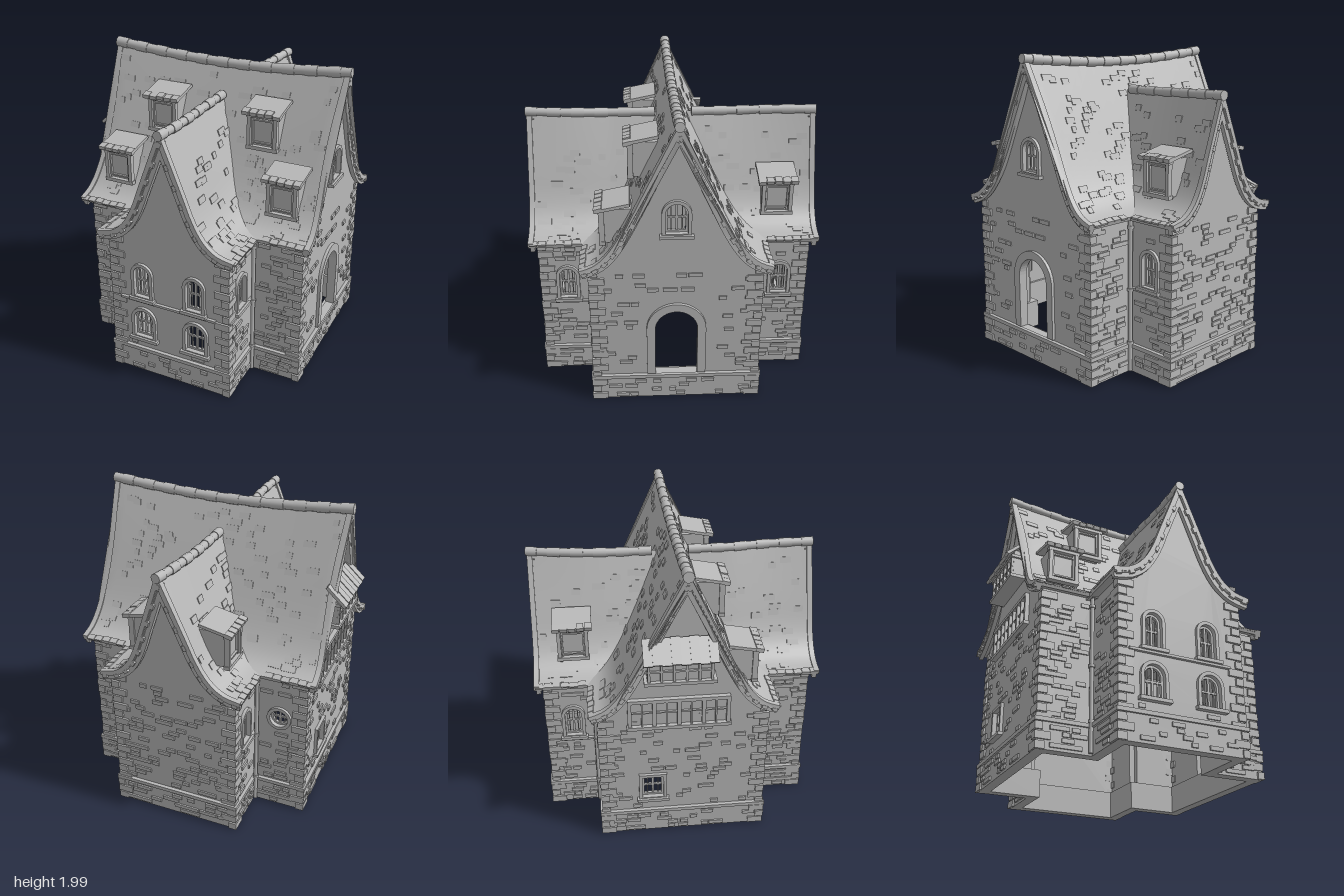
import * as THREE from 'three';
import { mergeGeometries, toCreasedNormals } from 'three/addons/utils/BufferGeometryUtils.js';

const V2 = (x, y) => new THREE.Vector2(x, y);
const CX = 0.035; // centre line of the front and back wings
const X0 = -0.72, X1 = 0.78, ZM = 0.53, WL = CX - 0.41, WR = CX + 0.41, ZW = 0.87;

// half roof profiles, ridge to eave
const spline = (a) => new THREE.SplineCurve(a.map((p) => V2(...p))).getPoints(18);
const mainP = spline([[0, 1.96], [0.15, 1.645], [0.3, 1.325], [0.4, 1.155], [0.49, 1.065], [0.59, 1.025]]);
const wingP = spline([[0, 1.735], [0.07, 1.56], [0.14, 1.385], [0.2, 1.235], [0.27, 1.12], [0.36, 1.05], [0.47, 1.025]]);

export function createModel() {
  const model = new THREE.Group();
  const stone = new THREE.MeshStandardMaterial({ color: 0xb8b8b8, side: THREE.DoubleSide });
  stone.name = 'plain grey stone';
  let seed = 11;
  const rnd = (a = 0, b = 1) => { seed = (seed * 16807) % 2147483647; return a + (b - a) * (seed / 2147483647); };
  const add = (name, geos) => {
    const list = [].concat(geos).map((g) => (g.index ? g.toNonIndexed() : g));
    const mesh = new THREE.Mesh(mergeGeometries(list), stone);
    mesh.name = name;
    model.add(mesh);
  };
  const box = (w, h, d, x, y, z) => new THREE.BoxGeometry(w, h, d).translate(x, y, z);
  const extrude = (shape, depth, steps = 1) =>
    new THREE.ExtrudeGeometry(shape, { depth, steps, bevelEnabled: false, curveSegments: 10 });
  const place = (x, y, z, rot) => new THREE.Matrix4().makeRotationY(rot).setPosition(x, y, z);
  const rod = (a, b, r, sides = 10) => {
    const d = b.clone().sub(a), q = new THREE.Quaternion().setFromUnitVectors(new THREE.Vector3(0, 1, 0), d.clone().normalize());
    const c = a.clone().add(b).multiplyScalar(0.5);
    return new THREE.CylinderGeometry(r, r, d.length(), sides).applyQuaternion(q).translate(c.x, c.y, c.z);
  };

  // sagging ridges and crooked verges
  const warp = (fn) => (g) => {
    const p = g.attributes.position, v = new THREE.Vector3();
    for (let i = 0; i < p.count; i++) { v.fromBufferAttribute(p, i); fn(v); p.setXYZ(i, v.x, v.y, v.z); }
    return toCreasedNormals(g, 0.5);
  };
  const sagMain = (v) => {
    const t = THREE.MathUtils.clamp((v.y - 1.02) / 0.94, 0, 1);
    v.y -= 0.045 * t * Math.max(0, Math.cos(Math.PI * (v.x - 0.03) / 1.66));
    v.x -= (v.x - 0.03) * 0.035 * Math.sin(Math.PI * t);
    v.z -= 0.015 * t * v.x;
  };
  const sagWing = (v) => {
    const t = THREE.MathUtils.clamp((v.y - 1.02) / 0.72, 0, 1), a = Math.max(0, (Math.abs(v.z) - 0.4) / 0.54);
    v.y += 0.015 * t * a;
    v.x += t * (v.z < 0 ? 0.042 * a * a : 0.012 * Math.sin(Math.PI * a));
  };

  // profile moved inward by t, over both slopes
  const offset = (P, t) => {
    const half = [];
    P.forEach((p, i) => {
      const d = P[Math.min(i + 1, P.length - 1)].clone().sub(P[Math.max(i - 1, 0)]).normalize();
      if (i === 0) half.push(V2(0, p.y - t / d.x));
      else { const q = V2(p.x + d.y * t, p.y - d.x * t); if (q.x > 0.004) half.push(q); }
    });
    return half.slice(1).reverse().map((p) => V2(-p.x, p.y)).concat(half);
  };
  const band = (P, a, b) => new THREE.Shape(offset(P, a).concat(offset(P, b).reverse()));
  const height = (P, d) => {
    for (let i = 1; i < P.length; i++) if (d <= P[i].x)
      return P[i - 1].y + (P[i].y - P[i - 1].y) * (d - P[i - 1].x) / (P[i].x - P[i - 1].x);
    return 0;
  };

  // roofs, each run along local z and turned into place
  function roof(name, P, len, M, sag, from, count, visible) {
    const fix = warp(sag), put = (g) => fix(g.applyMatrix4(M));
    add(name + 'Roof', put(extrude(band(P, 0, 0.025), len, 20)));
    const verge = [], tiles = [];
    for (const end of from ? [1] : [0, 1]) {
      verge.push(put(extrude(band(P, 0.012, 0.055), 0.03).translate(0, 0, end ? len - 0.04 : 0.01)));
      verge.push(put(extrude(band(P, -0.01, 0.018), 0.035).translate(0, 0, end ? len - 0.03 : -0.005)));
      // blocks along the barge boards
      for (let i = 1; i < P.length - 1; i += 2) for (const s of [-1, 1]) {
        const a = Math.atan2(P[i + 1].y - P[i - 1].y, P[i + 1].x - P[i - 1].x);
        verge.push(put(box(0.035, 0.022, 0.05, 0, -0.025, 0).rotateZ(s * a).translate(s * P[i].x, P[i].y, end ? len - 0.018 : 0.018)));
      }
    }
    // raised slates, with ragged eaves
    const slate = (s, d, z, w) => {
      const a = Math.atan2(height(P, d + 0.008) - height(P, d - 0.008), 0.016);
      tiles.push(put(box(0.04, 0.012, w, 0, 0, 0).rotateZ(s * a + s * -0.06).translate(s * d, height(P, d), z)));
    };
    for (let i = 0; i < count; i++) {
      const s = i % 2 ? 1 : -1, d = rnd(0.04, P.at(-1).x - 0.05), z = rnd(0.05, len - 0.06);
      if (visible(d, z, s)) slate(s, d, z, rnd(0.035, 0.09));
    }
    for (const s of [-1, 1]) for (let z = 0.03; z < len - 0.02; z += 0.055) {
      const d = P.at(-1).x - 0.012 + rnd(-0.006, 0.004);
      if (visible(d - 0.01, z, s)) slate(s, d, z, 0.05);
    }
    add(name + 'RoofTrim', verge);
    add(name + 'RoofSlates', tiles);
    // ridge tiles
    const caps = [], n = Math.round((len - from) / 0.075), r = P === mainP ? 0.034 : 0.03;
    const at = (k) => {
      const v = new THREE.Vector3(0, P[0].y, from - 0.01 + (len + 0.02 - from) * k / n).applyMatrix4(M);
      sag(v);
      return v;
    };
    for (let k = 0; k < n; k++) caps.push(rod(at(k), at(k + 1.12 - (k === n - 1 ? 0.12 : 0)), r + (k % 2 ? -0.003 : 0.001)));
    add(name + 'Ridge', caps);
  }
  const wingOver = (d, x) => Math.abs(x - CX) < 0.5 && height(wingP, Math.min(0.47, Math.abs(x - CX))) > height(mainP, d) - 0.03;
  roof('main', mainP, 1.63, place(-0.79, 0, 0, Math.PI / 2), sagMain, 0, 230, (d, z) => !wingOver(d, z - 0.79));
  const clear = (d, z) => height(mainP, Math.min(z + 0.1, 0.58)) < height(wingP, d) - 0.02 || z > 0.5;
  roof('frontWing', wingP, 0.83, place(CX, 0, 0.1, 0), sagWing, 0.02, 90, clear);
  roof('backWing', wingP, 0.83, place(CX, 0, -0.1, Math.PI), sagWing, 0.04, 90, clear);

  // arched, round or square outline for openings
  function outline(o, grow, S) {
    const s = new S(), w = o.w + grow, b = o.y0 - (o.door ? 0 : grow), t = o.y1 + grow;
    if (o.round) return s.absarc(o.x, (o.y0 + o.y1) / 2, w, 0, Math.PI * 2), s;
    s.moveTo(o.x - w, b).lineTo(o.x + w, b);
    if (o.square) s.lineTo(o.x + w, t).lineTo(o.x - w, t);
    else s.lineTo(o.x + w, t - w).absarc(o.x, t - w, w, 0, Math.PI, false);
    s.closePath();
    return s;
  }
  // a wall with openings, frames and raised bricks; local x runs right seen from outside
  function wall(name, x, z, rot, pts, openings, bricks, sag, top = 0.97) {
    const M = place(x, 0, z, rot), shape = new THREE.Shape(pts), hw = Math.max(...pts.map((p) => p.x));
    openings.forEach((o) => shape.holes.push(outline(o, 0, THREE.Path)));
    const g = extrude(shape, 0.04).translate(0, 0, -0.04).applyMatrix4(M);
    add(name, sag ? warp(sag)(g) : g);
    const frames = [];
    for (const o of openings) {
      const ring = outline(o, o.door ? 0.055 : 0.022, THREE.Shape), h = o.y1 - o.y0, my = (o.y0 + o.y1) / 2;
      ring.holes.push(outline(o, 0, THREE.Path));
      frames.push(extrude(ring, 0.05).translate(0, 0, -0.03));
      if (o.door) continue;
      const inner = outline(o, 0.002, THREE.Shape);
      inner.holes.push(outline(o, -0.014, THREE.Path));
      frames.push(extrude(inner, 0.02).translate(0, 0, -0.03));
      frames.push(box(0.014, h, 0.014, o.x, my, -0.02), box(o.w * 2, 0.012, 0.014, o.x, my, -0.02));
      for (const s of [-1, 1]) frames.push(box(0.007, h * 0.8, 0.01, o.x + s * o.w * 0.5, my - h * 0.06, -0.02));
      if (!o.round) frames.push(box(o.w * 2 + 0.07, 0.022, 0.05, o.x, o.y0 - 0.018, 0.01));
    }
    if (frames.length) add(name + 'Frames', frames.map((f) => (f.index ? f.toNonIndexed() : f).applyMatrix4(M)));
    const raised = [];
    for (let i = 0; i < bricks; i++) {
      const low = i % 4 === 0, w = rnd(0.04, 0.09), bx = rnd(-hw + 0.06, hw - 0.06);
      const by = low ? 0.03 + 0.035 * Math.floor(rnd(0, 4)) : 0.22 + 0.035 * Math.floor(rnd(0, (top - 0.22) / 0.035));
      if (openings.some((o) => Math.abs(bx - o.x) < o.w + 0.1 && by > o.y0 - 0.06 && by < o.y1 + 0.06)) continue;
      raised.push(box(w, 0.026, 0.02, bx, by, low ? 0.011 : 0).applyMatrix4(M));
    }
    add(name + 'Bricks', raised);
  }
  const gable = (P, hw) => {
    const top = offset(P, 0.015).filter((p) => Math.abs(p.x) < hw - 0.01).reverse();
    return [V2(-hw, 0.1), V2(hw, 0.1), V2(hw, 1.03), ...top, V2(-hw, 1.03)];
  };
  const flat = (hw) => [V2(-hw, 0.1), V2(hw, 0.1), V2(hw, 1.035), V2(-hw, 1.035)];
  const win = (x, y0 = 0.59, y1 = 0.81, w = 0.055) => ({ x, y0, y1, w });

  wall('frontGable', CX, ZW, 0, gable(wingP, 0.41),
    [win(-0.19), win(0.18), win(-0.19, 0.28, 0.48, 0.068), win(0.185, 0.28, 0.48, 0.068)], 50, sagWing, 0.55);
  wall('backGable', CX, -ZW, Math.PI, gable(wingP, 0.41), [], 120, sagWing);
  wall('rightGable', X1, 0, Math.PI / 2, gable(mainP, ZM),
    [{ x: 0, y0: 0.2, y1: 0.69, w: 0.135, door: true }, win(0, 1.255, 1.455, 0.068)], 70);
  wall('leftGable', X0, 0, -Math.PI / 2, gable(mainP, ZM), [{ x: -0.2, y0: 0.3, y1: 0.47, w: 0.07, square: true }], 80);
  const zs = (ZM + ZW) / 2, zh = (ZW - ZM) / 2, q = Math.PI / 2;
  wall('frontWingRightWall', WR, zs, q, flat(zh), [win(0)], 40);
  wall('backWingRightWall', WR, -zs, q, flat(zh), [win(0)], 40);
  wall('frontWingLeftWall', WL, zs, -q, flat(zh), [], 50);
  wall('backWingLeftWall', WL, -zs, -q, flat(zh), [win(0)], 40);
  const xr = (WR + X1) / 2, xl = (WL + X0) / 2, hr = (X1 - WR) / 2, hl = (WL - X0) / 2;
  wall('frontRightWall', xr, ZM, 0, flat(hr), [], 55);
  wall('frontLeftWall', xl, ZM, 0, flat(hl), [], 55);
  wall('backRightWall', xr, -ZM, Math.PI, flat(hr), [], 55);
  wall('backLeftWall', xl, -ZM, Math.PI, flat(hl), [{ x: 0, y0: 0.64, y1: 0.76, w: 0.06, round: true }], 45);

  // string courses below the upper windows
  add('stringCourses', [box(0.68, 0.016, 0.04, CX - 0.01, 0.555, ZW), box(0.04, 0.016, 0.34, WR, 0.555, zs),
    box(0.04, 0.016, 0.34, WR, 0.555, -zs), box(0.04, 0.016, 0.34, WL, 0.555, -zs)]);

  // plinth with a projecting lip, open underneath
  const cross = (o, S) => new S([[X1 + o, ZM + o], [WR + o, ZM + o], [WR + o, ZW + o], [WL - o, ZW + o], [WL - o, ZM + o], [X0 - o, ZM + o],
    [X0 - o, -ZM - o], [WL - o, -ZM - o], [WL - o, -ZW - o], [WR + o, -ZW - o], [WR + o, -ZM - o], [X1 + o, -ZM - o]].map((p) => V2(...p)));
  const course = (o, y0, y1) => {
    const s = cross(o, THREE.Shape);
    s.holes.push(cross(-0.06, THREE.Path));
    return extrude(s, y1 - y0).rotateX(Math.PI / 2).translate(0, y1, 0);
  };
  add('plinth', [course(0.01, 0, 0.165), course(0.024, 0.165, 0.19)]);

  // corner quoins and rain pipes in the inner corners
  const quoins = [], pipes = [];
  for (const sz of [-1, 1]) {
    for (const [x, z, sx] of [[X0, ZM, -1], [X1, ZM, 1], [WL, ZW, -1], [WR, ZW, 1]])
      for (let i = 0; i < 18; i++) {
        const y = 0.025 + i * 0.056, a = (i % 2 ? 0.1 : 0.055) + rnd(-0.008, 0.008), b = i % 2 ? 0.055 : 0.1, p = (y < 0.16 ? 0.018 : 0.01) + rnd(0, 0.005);
        quoins.push(box(a, 0.046, b, x - sx * (a / 2 - p), y, sz * (z - b / 2 + p)));
      }
    for (const [x, sx] of [[WL, -1], [WR, 1]]) {
      const px = x + sx * 0.025, pz = sz * (ZM + 0.025);
      pipes.push(new THREE.CylinderGeometry(0.014, 0.014, 1.02, 8).translate(px, 0.52, pz));
      for (const y of [0.2, 0.55, 0.95]) pipes.push(new THREE.CylinderGeometry(0.02, 0.02, 0.02, 8).translate(px, y, pz));
    }
  }
  add('quoins', quoins);
  add('rainPipes', pipes);

  // dormers: casement, frame and lean-to roof; local +z looks out
  function dormer(name, x, y, z, rot) {
    const g = [box(0.18, 0.23, 0.18, 0, 0.125, -0.1), box(0.21, 0.024, 0.04, 0, 0.012, 0), box(0.21, 0.024, 0.04, 0, 0.225, 0)];
    for (const s of [-1, 1]) g.push(box(0.024, 0.24, 0.035, s * 0.088, 0.12, 0), box(0.01, 0.19, 0.02, s * 0.068, 0.12, -0.005));
    g.push(box(0.14, 0.01, 0.02, 0, 0.195, -0.005), box(0.14, 0.01, 0.02, 0, 0.045, -0.005));
    const tilt = 0.2;
    g.push(box(0.25, 0.02, 0.21, 0, 0, 0).rotateX(tilt).translate(0, 0.262, -0.07));
    for (let i = 0; i < 5; i++) g.push(box(0.046, 0.026, 0.05, 0, 0, 0).rotateX(tilt + 0.05).translate((i - 2) * 0.052, 0.246 + rnd(-0.004, 0.004), 0.018));
    add(name, g.map((m) => m.applyMatrix4(place(x, y, z, rot))));
  }
  dormer('upperLeftDormer', -0.315, 1.475, 0.27, 0);
  dormer('upperRightDormer', 0.39, 1.475, 0.27, 0);
  dormer('lowerLeftDormer', -0.56, 1.135, 0.45, 0);
  dormer('lowerRightDormer', 0.605, 1.135, 0.45, 0);
  dormer('backWingRightDormer', CX + 0.32, 1.135, -0.67, q);
  dormer('backWingLeftDormer', CX - 0.32, 1.135, -0.67, -q);

  // oriel and window row on the left gable
  const L = place(X0, 0, -0.03, -q), oriel = [box(0.4, 0.2, 0.08, 0, 1.37, 0.04), box(0.44, 0.022, 0.11, 0, 1.27, 0.05), box(0.43, 0.02, 0.1, 0, 1.42, 0.05)];
  for (let i = 0; i < 6; i++) oriel.push(box(0.016, 0.16, 0.02, -0.19 + i * 0.076, 1.345, 0.085));
  oriel.push(box(0.4, 0.012, 0.016, 0, 1.35, 0.084));
  for (let i = 0; i < 8; i++) oriel.push(box(0.056, 0.02, 0.17, 0, 0, 0).rotateX(0.75).translate(-0.196 + i * 0.056, 1.475 + (i % 2) * 0.006, 0.07));
  add('oriel', oriel.map((m) => m.applyMatrix4(L)));
  const row = [box(0.66, 0.024, 0.05, 0, 0.89, 0.01), box(0.64, 0.024, 0.04, 0, 1.09, 0.01), box(0.62, 0.19, 0.01, 0, 0.99, 0.002), box(0.62, 0.01, 0.02, 0, 1.0, 0.01)];
  for (let i = 0; i < 9; i++) row.push(box(i % 2 ? 0.01 : 0.024, 0.2, 0.035, -0.31 + i * 0.0775, 0.99, 0.01));
  add('windowRow', row.map((m) => m.applyMatrix4(L)));
  return model;
}
